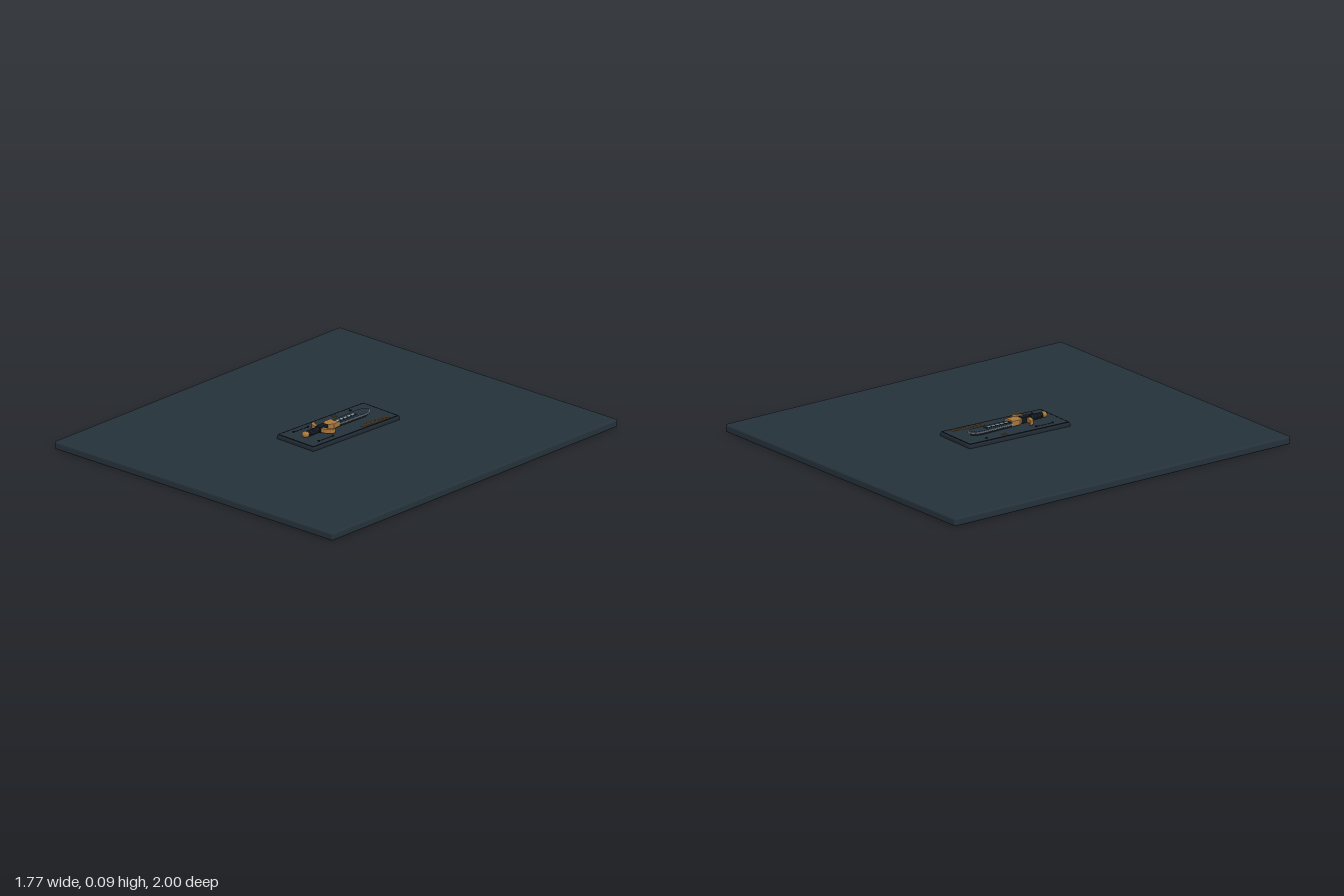
import * as THREE from 'three';
import { RoundedBoxGeometry } from 'three/addons/geometries/RoundedBoxGeometry.js';

export function createModel() {
  const mat = (name, color) => {
    const m = new THREE.MeshStandardMaterial({ color });
    m.name = name;
    return m;
  };
  const slate = mat('slate', 0x25313a);
  const plaqueDark = mat('plaque dark', 0x202a32);
  const black = mat('black trim', 0x12181d);
  const brass = mat('brass', 0xa9763c);
  const steel = mat('steel', 0x7d8a92);
  const ice = mat('pale blue', 0xa9c6d3);

  const model = new THREE.Group();
  const add = (parent, name, geo, material, x = 0, y = 0, z = 0, ry = 0) => {
    const mesh = new THREE.Mesh(geo, material);
    mesh.name = name;
    mesh.position.set(x, y, z);
    mesh.rotation.y = ry;
    parent.add(mesh);
    return mesh;
  };
  const box = (w, h, d) => new THREE.BoxGeometry(w, h, d);
  // Outline drawn in plan (x, -z), laid flat with its underside at y = 0
  const flat = (shape, depth, bevel = 0) => {
    const g = new THREE.ExtrudeGeometry(shape, {
      depth: depth - 2 * bevel, curveSegments: 12, bevelEnabled: bevel > 0,
      bevelSize: bevel, bevelThickness: bevel, bevelOffset: -bevel, bevelSegments: 2,
    });
    return g.translate(0, 0, bevel).rotateX(-Math.PI / 2);
  };

  // Large base slab
  add(model, 'baseSlab', new RoundedBoxGeometry(1.774, 0.04, 2, 3, 0.01), slate, 0, 0.02, 0);

  // Slightly turned plaque
  const plaque = new THREE.Group();
  plaque.name = 'plaque';
  plaque.position.set(-0.002, 0, -0.018);
  plaque.rotation.y = -0.04;
  model.add(plaque);
  add(plaque, 'plaqueBody', new RoundedBoxGeometry(0.246, 0.024, 0.586, 3, 0.009), plaqueDark, 0, 0.047, 0);
  add(plaque, 'plaquePanel', box(0.226, 0.003, 0.566), slate, 0, 0.0592, 0);
  for (const s of [-1, 1]) {
    add(plaque, 'sideTrim', box(0.004, 0.004, 0.57), black, s * 0.114, 0.0595, 0);
    add(plaque, 'endTrim', box(0.23, 0.004, 0.004), black, 0, 0.0595, s * 0.284);
    for (const z of [0.12, 0.215]) {
      add(plaque, 'stud', new THREE.CylinderGeometry(0.005, 0.005, 0.006, 10), black, s * 0.083, 0.062, z);
    }
    add(plaque, 'gaugeLine', box(0.002, 0.002, 0.1), black, s * 0.083, 0.061, 0.168);
  }
  add(plaque, 'upperStud', new THREE.CylinderGeometry(0.005, 0.005, 0.006, 10), black, -0.088, 0.062, -0.17);

  // Brass tally marks along the plaque
  for (let i = 0; i < 9; i++) {
    add(plaque, 'tallyMark', box(0.024, 0.003, 0.007), brass, 0.091, 0.062, -0.235 + i * 0.0205, 0.45);
  }
  for (let i = 0; i < 3; i++) {
    add(plaque, 'smallMark', box(0.018, 0.003, 0.004), brass, -0.09, 0.062, -0.08 + i * 0.012);
  }

  // Dagger lying on the plaque
  const dagger = new THREE.Group();
  dagger.name = 'dagger';
  dagger.position.set(-0.005, 0, 0);
  model.add(dagger);

  const bladeShape = (w, tip) => {
    const s = new THREE.Shape();
    s.moveTo(-w * 0.75, -0.03);
    s.lineTo(-w, 0.17);
    s.bezierCurveTo(-w, tip - 0.025, -w * 0.45, tip, 0, tip);
    s.bezierCurveTo(w * 0.45, tip, w, tip - 0.025, w, 0.17);
    s.lineTo(w * 0.75, -0.03);
    s.closePath();
    return s;
  };
  add(dagger, 'bladeEdge', flat(bladeShape(0.035, 0.239), 0.008, 0.002), steel, 0, 0.071, 0);
  add(dagger, 'bladeFace', flat(bladeShape(0.030, 0.233), 0.006), slate, 0, 0.0745, 0);
  add(dagger, 'bladeUnderside', flat(bladeShape(0.028, 0.225), 0.01), black, 0, 0.062, 0);
  add(dagger, 'fuller', box(0.022, 0.002, 0.15), black, 0, 0.081, -0.065);
  for (let i = 0; i < 5; i++) {
    add(dagger, 'inlay', box(0.015, 0.004, 0.018), ice, 0, 0.082, -0.12 + i * 0.026);
  }

  // Collar where the blade meets the guard
  const collar = new THREE.Shape();
  collar.moveTo(-0.027, 0.0);
  collar.lineTo(0, -0.008);
  collar.lineTo(0.027, 0.004);
  collar.lineTo(0.032, -0.045);
  collar.lineTo(0.014, -0.068);
  collar.lineTo(-0.014, -0.068);
  collar.lineTo(-0.03, -0.045);
  collar.closePath();
  add(dagger, 'collar', flat(collar, 0.027, 0.004), brass, 0, 0.064, 0);

  // Crescent cross-guard with upswept ends
  const guard = new THREE.Shape();
  guard.moveTo(-0.07, -0.074);
  guard.quadraticCurveTo(-0.045, -0.096, 0, -0.096);
  guard.quadraticCurveTo(0.045, -0.096, 0.07, -0.074);
  guard.lineTo(0.064, -0.097);
  guard.quadraticCurveTo(0.045, -0.118, 0, -0.12);
  guard.quadraticCurveTo(-0.045, -0.118, -0.064, -0.097);
  guard.closePath();
  add(dagger, 'guard', flat(guard, 0.022, 0.003), brass, 0, 0.064, 0);
  add(dagger, 'guardBlock', new RoundedBoxGeometry(0.034, 0.03, 0.056, 2, 0.004), black, 0, 0.077, 0.094);

  // Wrapped grip and pommel
  const grip = new THREE.CylinderGeometry(0.013, 0.015, 0.1, 12).rotateX(Math.PI / 2);
  add(dagger, 'grip', grip, black, 0, 0.076, 0.155);
  for (let i = 0; i < 4; i++) {
    add(dagger, 'gripRing', new THREE.TorusGeometry(0.014, 0.002, 6, 14), slate, 0, 0.076, 0.13 + i * 0.018);
  }
  const pommel = new THREE.SphereGeometry(0.02, 14, 10).scale(1, 0.75, 0.8);
  add(dagger, 'pommel', pommel, brass, 0, 0.077, 0.208);

  return model;
}
